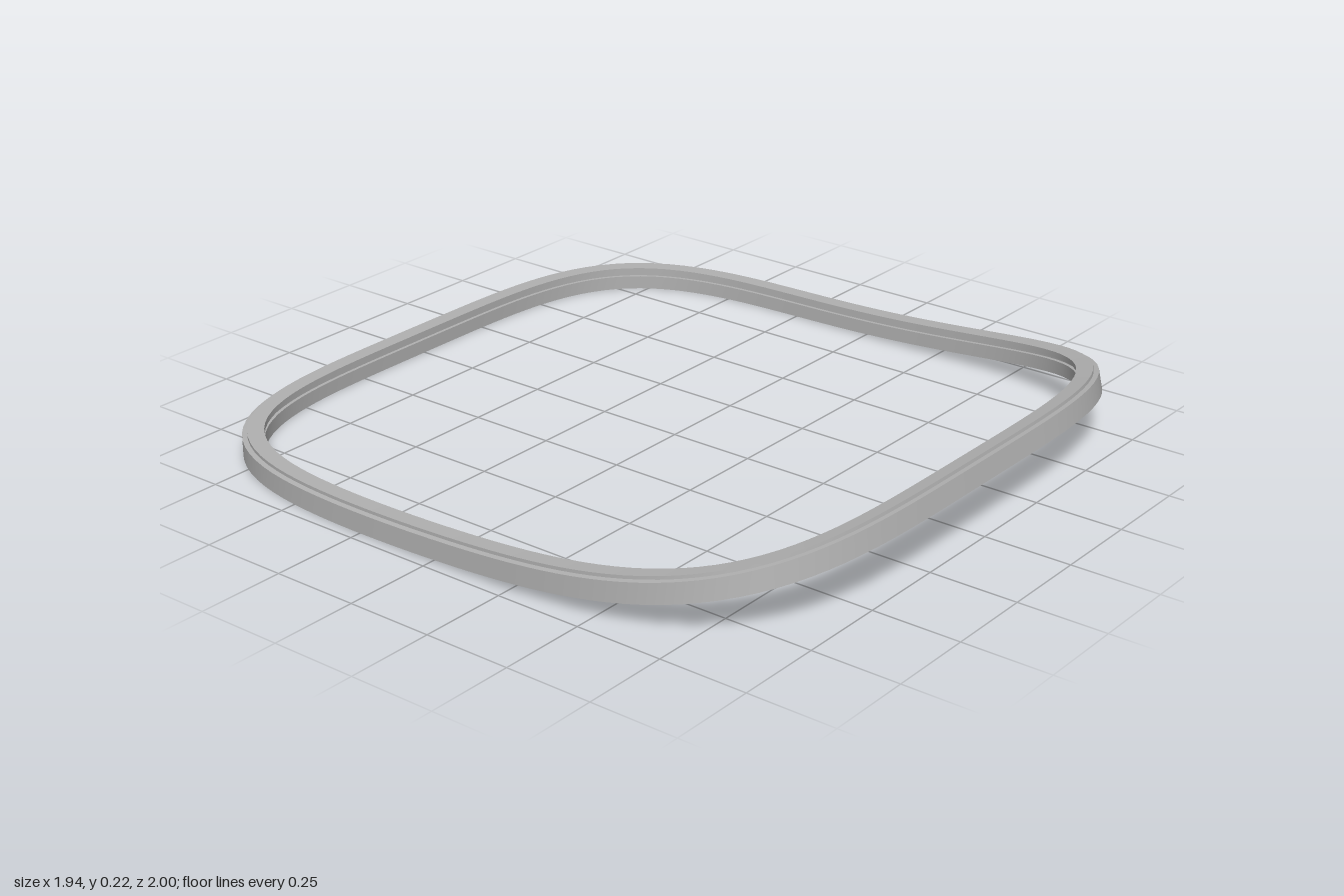
import * as THREE from 'three';

const SEGMENTS = 160;
const HALF_WIDTH = 0.97, HALF_DEPTH = 1.0, POWER = 4;

// Cross-section as [inset from outer edge, height]: stepped top rim, shallow inner groove
const SECTION = [
  [0, 0], [0, 0.056], [0.014, 0.058], [0.014, 0.067],
  [0.06, 0.067], [0.06, 0.05], [0.05, 0.05], [0.05, 0.04],
  [0.06, 0.04], [0.06, 0],
];

// The frame lies flat at the back and sweeps up toward the front
const sweep = (z) => 0.155 * Math.pow(Math.max(0, (z + 0.4) / 1.4), 2.5);
const slope = (z) => 0.277 * Math.pow(Math.max(0, (z + 0.4) / 1.4), 1.5);

// Point on the rounded-square outline, moved inward along its normal
function framePoint(angle, inset, height) {
  const c = Math.cos(angle), s = Math.sin(angle);
  const r = Math.pow(Math.pow(Math.abs(c), POWER) + Math.pow(Math.abs(s), POWER), -1 / POWER);
  const nx = Math.sign(c) * Math.pow(Math.abs(c), POWER - 1) / HALF_WIDTH;
  const nz = Math.sign(s) * Math.pow(Math.abs(s), POWER - 1) / HALF_DEPTH;
  const len = Math.hypot(nx, nz);
  const x = HALF_WIDTH * c * r - inset * nx / len;
  const z = HALF_DEPTH * s * r - inset * nz / len;
  // Height is measured square to the sweep, so the front leans back a little
  const k = slope(z), n = Math.hypot(1, k);
  return [x, sweep(z) + height / n, z - height * k / n];
}

// One smooth strip per section edge keeps the long edges sharp
function frameGeometry() {
  const positions = [], indices = [];
  SECTION.forEach((start, j) => {
    const end = SECTION[(j + 1) % SECTION.length];
    const base = positions.length / 3;
    for (let i = 0; i < SEGMENTS; i++) {
      const angle = (i / SEGMENTS) * Math.PI * 2;
      positions.push(...framePoint(angle, ...start), ...framePoint(angle, ...end));
      const a = base + i * 2, c = base + ((i + 1) % SEGMENTS) * 2;
      indices.push(a, a + 1, c, a + 1, c + 1, c);
    }
  });
  const geometry = new THREE.BufferGeometry();
  geometry.setAttribute('position', new THREE.Float32BufferAttribute(positions, 3));
  geometry.setIndex(indices);
  geometry.computeVertexNormals();
  return geometry;
}

export function createModel() {
  const model = new THREE.Group();
  model.name = 'curvedFrame';
  const grey = new THREE.MeshStandardMaterial({ color: 0xb0b0b0 });
  grey.name = 'grey';
  const rim = new THREE.Mesh(frameGeometry(), grey);
  rim.name = 'rim';
  model.add(rim);
  return model;
}
